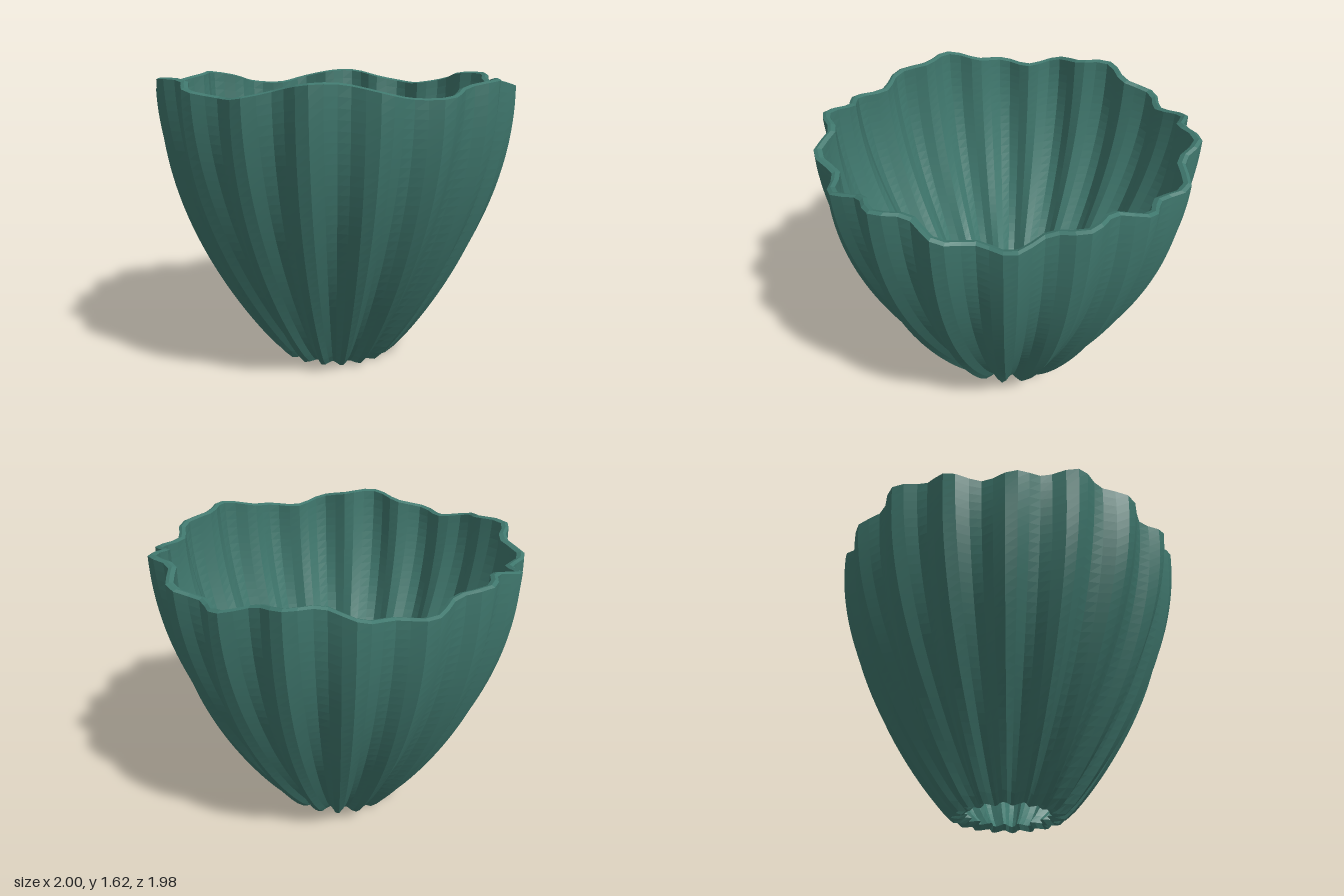
import * as THREE from 'three';

const SEGMENTS = 96, ROWS = 32, FLUTES = 18;
const HEIGHT = 1.57, WALL = 0.042;

// Point on the fluted wall: t runs from base (0) to rim (1),
// depth moves inward square to the sloping profile, lift moves up
function wallPoint(theta, t, depth, lift = 0) {
  const flute = 0.035 * Math.sin(FLUTES * theta + 2 * t);
  const profile = 0.285 + 0.683 * Math.sin(t * Math.PI / 2) ** 0.85;
  const tilt = 0.75 * (1 - t);
  const r = profile + flute - depth * Math.cos(tilt);
  const wave = 0.04 * Math.sin(6 * theta) * t ** 4;
  const y = HEIGHT * t + wave + depth * Math.sin(tilt) + lift;
  return [r * Math.cos(theta), y, r * Math.sin(theta)];
}

// Skin a list of [t, depth, lift] rings with faceted quads
function skin(name, rings, material) {
  const positions = [], index = [];
  for (const [t, depth, lift] of rings) {
    for (let i = 0; i < SEGMENTS; i++) {
      positions.push(...wallPoint(i / SEGMENTS * Math.PI * 2, t, depth, lift));
    }
  }
  for (let j = 0; j < rings.length - 1; j++) {
    for (let i = 0; i < SEGMENTS; i++) {
      const n = (i + 1) % SEGMENTS;
      const a = j * SEGMENTS + i, b = j * SEGMENTS + n;
      const c = a + SEGMENTS, d = b + SEGMENTS;
      index.push(a, c, b, b, c, d);
    }
  }
  const indexed = new THREE.BufferGeometry();
  indexed.setAttribute('position', new THREE.Float32BufferAttribute(positions, 3));
  indexed.setIndex(index);
  const geometry = indexed.toNonIndexed();
  geometry.computeVertexNormals();
  const mesh = new THREE.Mesh(geometry, material);
  mesh.name = name;
  return mesh;
}

export function createModel() {
  const glaze = new THREE.MeshStandardMaterial({ color: 0x3f776d, flatShading: true });
  glaze.name = 'teal glaze';

  const group = new THREE.Group();
  group.name = 'flutedBowl';

  const steps = Array.from({ length: ROWS + 1 }, (_, j) => j / ROWS);

  // Outer wall going up, rim going inward, inner wall going down, open base ring going outward
  group.add(
    skin('outerWall', steps.map(t => [t, 0]), glaze),
    skin('rim', [[1, 0], [1, WALL * 0.45, 0.008], [1, WALL]], glaze),
    skin('innerWall', steps.map(t => [1 - t, WALL]), glaze),
    skin('baseRing', [[0, WALL], [0, 0]], glaze),
  );
  return group;
}
